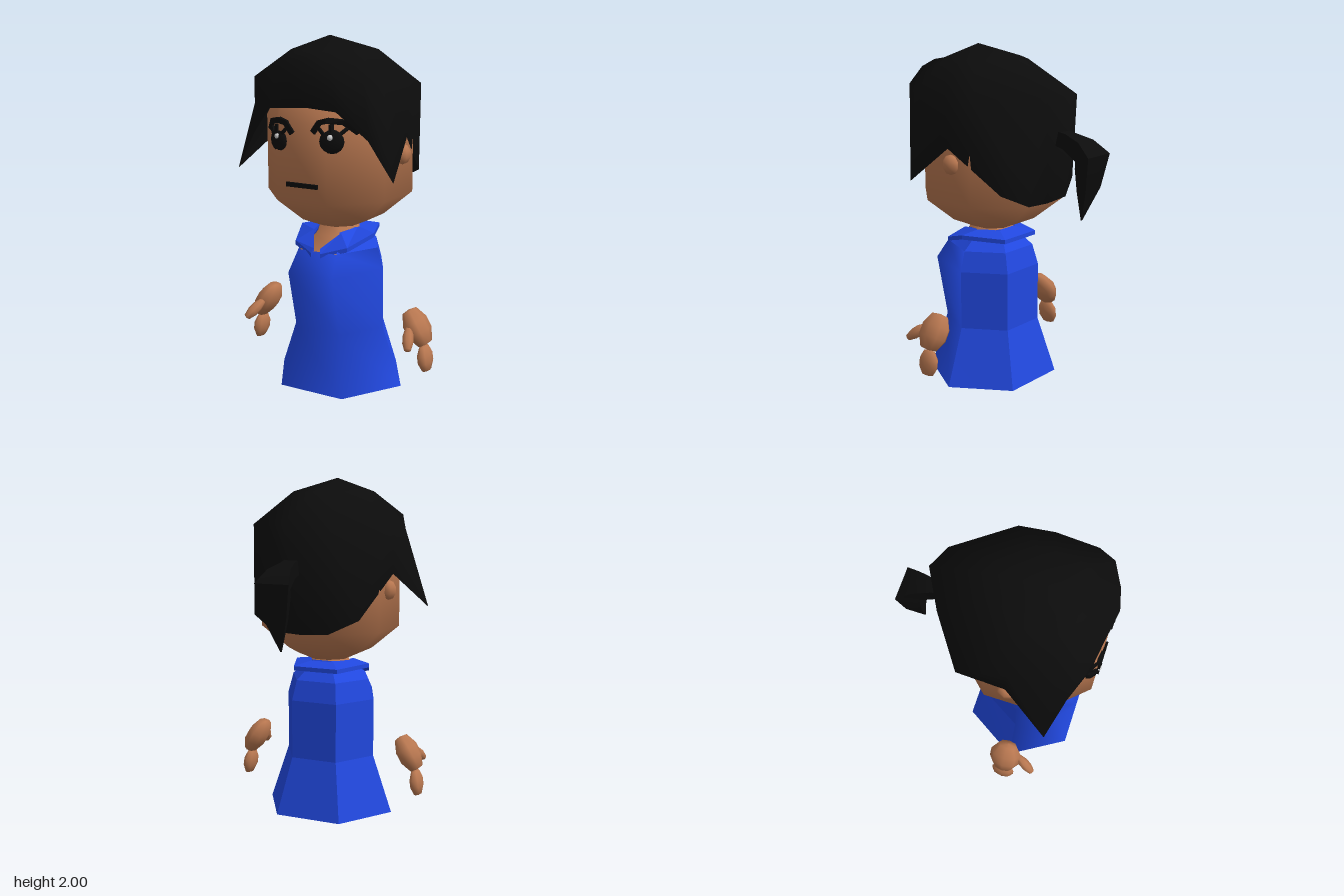
import * as THREE from 'three';
import { toCreasedNormals } from 'three/addons/utils/BufferGeometryUtils.js';

const material = (color) => new THREE.MeshStandardMaterial({ color, side: THREE.DoubleSide });
const SKIN = material(0xb87750), BLUE = material(0x2148e0), BLACK = material(0x0c0c0c), WHITE = material(0xe8e8e8);
const CZ = 0.17; // depth of the body axis
const FLAT = 0.1, SMOOTH = Math.PI;

// Skin a stack of equal-length rings of [x, y, z]; rings run counter-clockwise seen from the end
function loft(rings, { closed = true, start = false, end = false, crease = SMOOTH } = {}) {
  const n = rings[0].length, pos = rings.flat(), index = [];
  for (let i = 0; i < rings.length - 1; i++) {
    for (let j = 0; j < (closed ? n : n - 1); j++) {
      const a = i * n + j, b = i * n + (j + 1) % n;
      index.push(a, b, a + n, b, b + n, a + n);
    }
  }
  const cap = (row, flip) => {
    const c = pos.length;
    pos.push([0, 1, 2].map((k) => rings[row].reduce((s, p) => s + p[k], 0) / n));
    for (let j = 0; j < n; j++) {
      const a = row * n + j, b = row * n + (j + 1) % n;
      index.push(c, flip ? b : a, flip ? a : b);
    }
  };
  if (start) cap(0, true);
  if (end) cap(rings.length - 1, false);
  const geo = new THREE.BufferGeometry();
  geo.setAttribute('position', new THREE.Float32BufferAttribute(pos.flat(), 3));
  geo.setIndex(index);
  return toCreasedNormals(geo, crease);
}

function add(parent, name, geo, mat) {
  const mesh = new THREE.Mesh(geo, mat);
  mesh.name = name;
  parent.add(mesh);
  return mesh;
}

// Six-sided ring with its corners on the left and right
const hex = (y, rx, zf, zb) => [[rx / 2, y, zf], [rx, y, CZ], [rx / 2, y, zb], [-rx / 2, y, zb], [-rx, y, CZ], [-rx / 2, y, zf]];
const pick = (rings, ids) => rings.map((r) => ids.map((i) => r[i]));

// Eight-sided ring with a flat front
const oct = (y, r) => Array.from({ length: 8 }, (_, i) => {
  const a = (i + 0.5) * Math.PI / 4;
  return [Math.sin(a) * r * 0.94, y, CZ + Math.cos(a) * r];
});

function buildDress(group) {
  const rings = [hex(0, 0.405, 0.5, -0.16), hex(0.34, 0.285, 0.42, -0.07), hex(0.69, 0.285, 0.5, -0.07), hex(0.81, 0.25, 0.42, -0.04)];
  add(group, 'dressFront', loft(pick(rings, [4, 5, 0, 1])), BLUE);
  add(group, 'dressBack', loft(pick(rings, [1, 2, 3, 4]), { closed: false, crease: FLAT }), BLUE);
  add(group, 'hem', loft([rings[0], hex(0.002, 0.4, 0.495, -0.155)], { start: true, crease: FLAT }), BLUE);
  // Shoulders stay open between the front corners for the neckline
  const shoulders = [rings[3], hex(0.88, 0.16, 0.31, 0.02), hex(0.925, 0.12, 0.28, 0.05)];
  add(group, 'shoulders', loft(pick(shoulders, [0, 1, 2, 3, 4, 5]), { closed: false, crease: FLAT }), BLUE);
  add(group, 'neck', loft([hex(0.8, 0.24, 0.42, -0.03), hex(0.88, 0.15, 0.31, 0.03), hex(0.97, 0.1, 0.26, 0.08)]), SKIN);

  // Collar: [outer, inner] points from the front tip round to the back
  const half = [
    [[0.03, 0.805, 0.44], [0.02, 0.83, 0.425]],
    [[0.17, 0.845, 0.38], [0.09, 0.905, 0.31]],
    [[0.24, 0.9, 0.2], [0.12, 0.92, 0.17]],
    [[0.14, 0.895, -0.05], [0.07, 0.92, 0.05]],
  ];
  const flip = half.map((s) => s.map(([x, y, z]) => [-x, y, z])).reverse();
  const sections = [...half, ...flip].map(([o, i]) => {
    const low = (p) => [p[0], p[1] - 0.025, p[2]];
    return [o, low(o), low(i), i];
  });
  add(group, 'collar', loft(sections, { start: true, end: true, crease: FLAT }), BLUE);
}

const faceZ = (x) => 0.58 - Math.max(0, Math.abs(x) - 0.165) * 1.09;

// Thin raised stroke that follows the face
function stroke(points, width) {
  const rings = points.map(([x, y], i) => {
    const p = points[Math.max(i - 1, 0)], q = points[Math.min(i + 1, points.length - 1)];
    const d = new THREE.Vector2(q[0] - p[0], q[1] - p[1]).setLength(width / 2);
    const at = (s, dz) => [x - s * d.y, y + s * d.x, faceZ(x) + dz];
    return [at(1, 0.008), at(-1, 0.008), at(-1, -0.02), at(1, -0.02)];
  });
  return loft(rings, { start: true, end: true, crease: FLAT });
}

function buildHead(group) {
  const levels = [[0.93, 0.13], [0.985, 0.265], [1.12, 0.437], [1.55, 0.437], [1.72, 0.35], [1.8, 0.18]];
  add(group, 'head', loft(levels.map(([y, r]) => oct(y, r)), { start: true, end: true }), SKIN);
  add(group, 'mouth', stroke([[-0.09, 1.218], [0.105, 1.218]], 0.024), BLACK);

  for (const s of [1, -1]) {
    const ear = add(group, 'ear', new THREE.SphereGeometry(1, 7, 5), SKIN);
    ear.scale.set(0.045, 0.058, 0.058);
    ear.position.set(s * 0.385, 1.355, 0.14);

    const cx = s > 0 ? 0.18 : -0.15, cy = s > 0 ? 1.465 : 1.45;
    const eye = add(group, 'eye', new THREE.SphereGeometry(1, 10, 8), BLACK);
    eye.scale.set(0.067, 0.065, 0.033);
    eye.position.set(cx, cy, 0.553);
    eye.rotation.y = s * 0.38;
    const glint = add(group, 'eyeGlint', new THREE.SphereGeometry(0.016, 8, 6), WHITE);
    glint.position.set(cx + 0.005, cy + 0.025, 0.58);

    for (const t of [-0.05, 0, 0.05]) {
      add(group, 'eyelash', stroke([[cx + t * 0.7, cy + 0.04], [cx + t * 1.25, cy + 0.09 - Math.abs(t) * 0.4]], 0.016), BLACK);
    }
    const brow = [[-0.1, 0.045], [-0.06, 0.1], [-0.015, 0.112], [0.05, 0.1], [0.105, 0.04]];
    add(group, 'eyebrow', stroke(brow.map(([x, y]) => [cx + s * x, cy + y]), 0.03), BLACK);
  }
}

function buildHair(group) {
  // Lower rim, from the middle of the fringe round by the left, back and right
  const rim = [
    [0.03, 1.635, 0.565], [0.2, 1.62, 0.545], [0.35, 1.47, 0.47], [0.46, 1.24, 0.39], [0.41, 1.45, 0.14],
    [0.33, 1.21, -0.18], [0.17, 1.13, -0.25], [0, 1.12, -0.25], [-0.17, 1.13, -0.25], [-0.33, 1.21, -0.18],
    [-0.41, 1.45, 0.14], [-0.54, 1.235, 0.405], [-0.37, 1.47, 0.47], [-0.22, 1.615, 0.545],
  ];
  // Widest line of the hair
  const brim = [
    [0.03, 1.89, 0.6], [0.165, 1.86, 0.57], [0.34, 1.78, 0.5], [0.4, 1.75, 0.4], [0.425, 1.73, 0.15],
    [0.4, 1.73, -0.05], [0.155, 1.75, -0.36], [0.02, 1.75, -0.42], [-0.2, 1.73, -0.3], [-0.43, 1.66, 0.02],
    [-0.41, 1.68, 0.15], [-0.39, 1.7, 0.4], [-0.33, 1.78, 0.52], [-0.15, 1.87, 0.57],
  ];
  const apex = [0, 2, 0.27];
  const crown = brim.map(([x, , z]) => [x * 0.54, 1.92, (z + apex[2]) / 2]);
  add(group, 'hair', loft([rim, brim, crown, crown.map(() => apex)]), BLACK);

  // Ponytail: outer edge, inner edge (z, y) and their half widths
  const tail = [
    [-0.33, 1.555, 0.045, -0.33, 1.47, 0.04],
    [-0.4, 1.542, 0.04, -0.38, 1.455, 0.035],
    [-0.51, 1.51, 0.07, -0.475, 1.4, 0.05],
    [-0.6, 1.44, 0.102, -0.478, 1.36, 0.055],
    [-0.565, 1.25, 0.07, -0.483, 1.23, 0.04],
    [-0.492, 1.06, 0.004, -0.488, 1.06, 0.004],
  ].map(([zo, yo, wo, zi, yi, wi]) => [[wo, yo, zo], [-wo, yo, zo], [-wi, yi, zi], [wi, yi, zi]]);
  add(group, 'ponytail', loft(tail, { start: true, end: true, crease: 0.6 }), BLACK);
}

// Chunky rounded lump used for the hand parts
function lump(parent, name, size, position, rotation) {
  const profile = [[0, -1], [0.6, -0.93], [1, -0.3], [1, 0.3], [0.6, 0.93], [0, 1]].map((p) => new THREE.Vector2(...p));
  const mesh = add(parent, name, new THREE.LatheGeometry(profile, 8), SKIN);
  mesh.scale.set(...size);
  mesh.position.set(...position);
  mesh.rotation.set(...rotation);
}

function buildHand(side) {
  const hand = new THREE.Group();
  hand.name = side > 0 ? 'leftHand' : 'rightHand';
  lump(hand, 'palm', [0.062, 0.11, 0.098], [0.51, 0.382, 0.177], [0, 0, side * 0.53]);
  lump(hand, 'fingers', [0.035, 0.075, 0.07], [0.562, 0.207, 0.177], [0, 0, side * 0.15]);
  lump(hand, 'thumb', [0.032, 0.075, 0.032], [0.518, 0.352, 0.31], [-0.9, 0, side * 0.35]);
  for (const part of hand.children) part.position.x *= side;
  return hand;
}

export function createModel() {
  const model = new THREE.Group();
  model.name = 'figure';
  buildDress(model);
  buildHead(model);
  buildHair(model);
  model.add(buildHand(1), buildHand(-1));
  return model;
}
